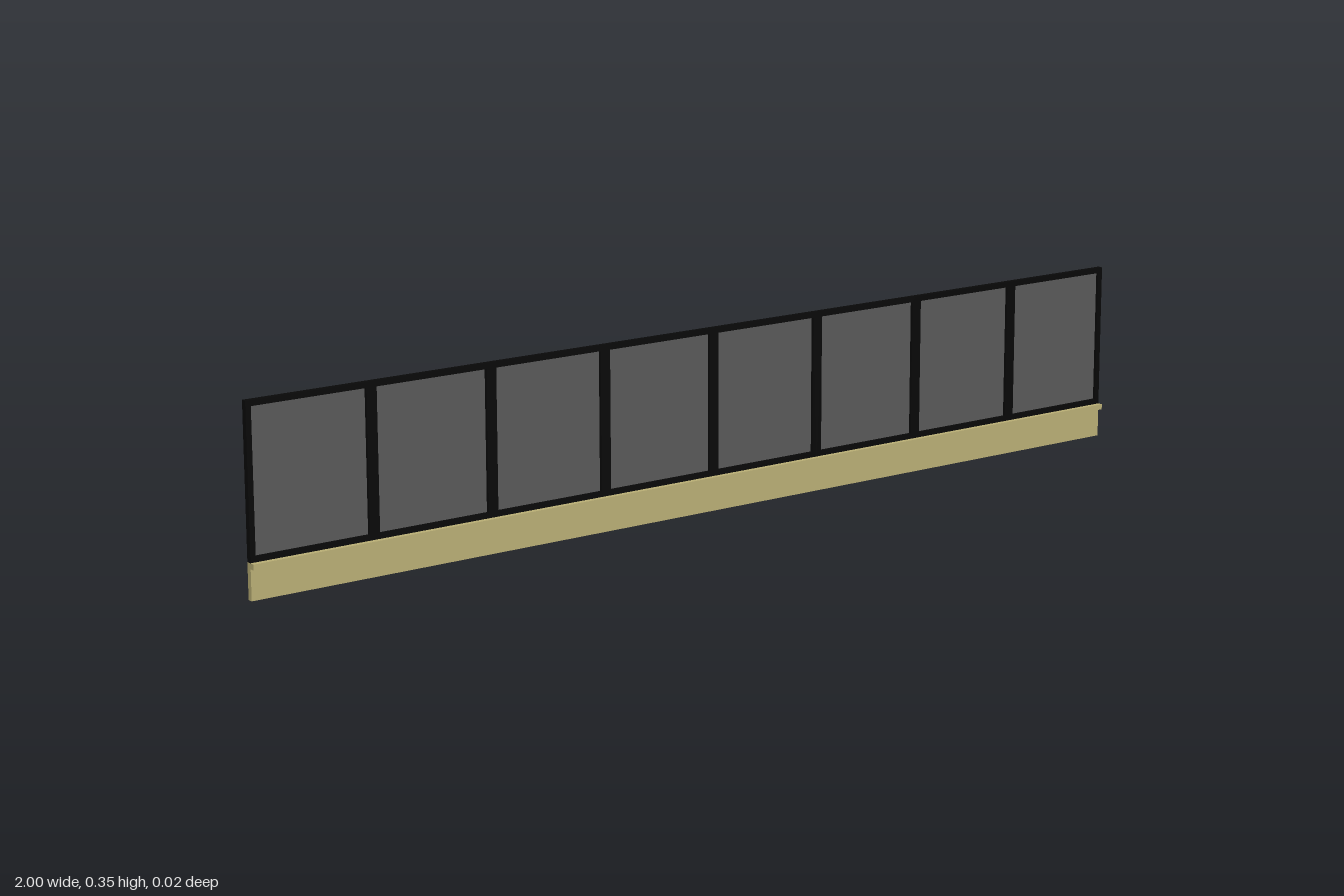
import * as THREE from 'three';

export function createModel() {
  const model = new THREE.Group();
  const stone = new THREE.MeshStandardMaterial({ color: 0xb8ad74 });
  const black = new THREE.MeshStandardMaterial({ color: 0x080808 });
  const glass = new THREE.MeshStandardMaterial({ color: 0x585858, side: THREE.DoubleSide });

  const add = (name, geometry, material, x, y, z) => {
    const mesh = new THREE.Mesh(geometry, material);
    mesh.name = name;
    mesh.position.set(x, y, z);
    model.add(mesh);
  };

  const depth = 0.0107, back = -0.0105, mid = back + depth / 2;
  const baseTop = 0.068, top = 0.354, sill = 0.0107;
  const count = 8, width = 2 / count, height = top - baseTop, bar = 0.0107;

  // Low wall with its front ledge, extruded along x from an L-shaped section
  const section = new THREE.Shape([
    [back, 0], [back + depth, 0], [back + depth, baseTop - sill],
    [-back, baseTop - sill], [-back, baseTop], [back, baseTop],
  ].map(([z, y]) => new THREE.Vector2(-z, y)));
  const wall = new THREE.ExtrudeGeometry(section, { depth: 2, bevelEnabled: false });
  wall.rotateY(Math.PI / 2);
  add('baseWall', wall, stone, -1, 0, 0);

  // Window frame with a rectangular opening
  const rectangle = (path, inset) => {
    const w = width / 2 - inset, h = height / 2 - inset;
    path.moveTo(-w, -h).lineTo(w, -h).lineTo(w, h).lineTo(-w, h).closePath();
    return path;
  };
  const outline = rectangle(new THREE.Shape(), 0);
  outline.holes.push(rectangle(new THREE.Path(), bar));
  const frame = new THREE.ExtrudeGeometry(outline, { depth, bevelEnabled: false });
  const pane = new THREE.PlaneGeometry(width - 2 * bar, height - 2 * bar);

  // Row of framed panes standing on the wall
  for (let i = 0; i < count; i++) {
    const x = -1 + (i + 0.5) * width, y = (baseTop + top) / 2;
    add('windowFrame', frame, black, x, y, back);
    add('windowPane', pane, glass, x, y, mid);
  }
  return model;
}
